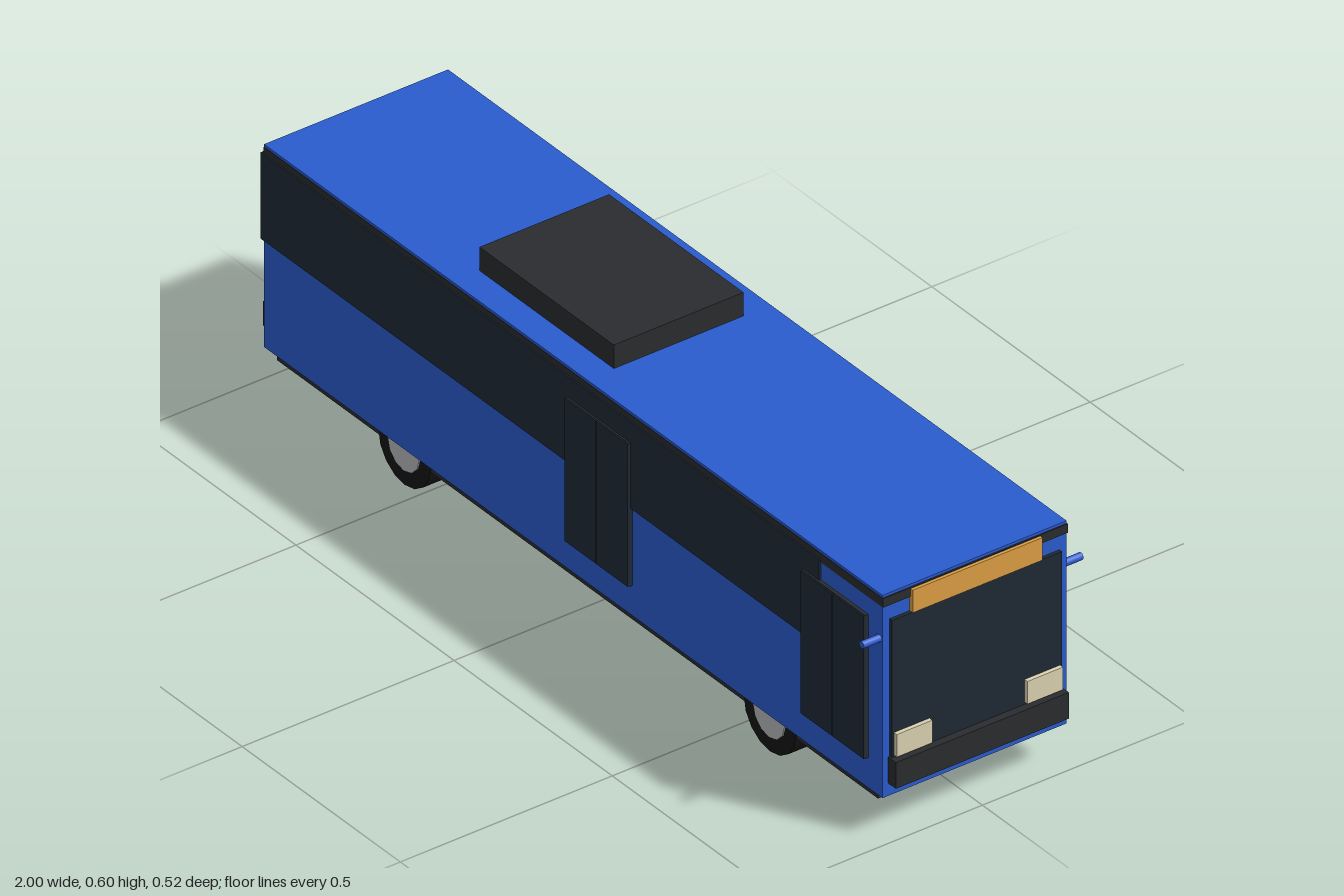
import * as THREE from 'three';

const mat = (color) => new THREE.MeshStandardMaterial({ color });

export function createModel() {
  const bus = new THREE.Group();
  bus.name = 'bus';

  const blue = mat(0x2a5ccf);
  const glass = mat(0x1f2a35);
  const charcoal = mat(0x2a2c2f);
  const rubber = mat(0x161616);
  const metal = mat(0xb8babd);
  const amber = mat(0xdd9f45);
  const cream = mat(0xdcd3b2);
  const red = mat(0xb01c1c);

  // Box given by its extents on each axis
  const box = (name, material, [x0, x1], [y0, y1], [z0, z1], parent = bus) => {
    const mesh = new THREE.Mesh(new THREE.BoxGeometry(x1 - x0, y1 - y0, z1 - z0), material);
    mesh.position.set((x0 + x1) / 2, (y0 + y1) / 2, (z0 + z1) / 2);
    mesh.name = name;
    parent.add(mesh);
    return mesh;
  };

  // Cylinder lying along z
  const axle = (name, material, radius, width, sides, [x, y, z], parent = bus) => {
    const geometry = new THREE.CylinderGeometry(radius, radius, width, sides).rotateX(Math.PI / 2);
    const mesh = new THREE.Mesh(geometry, material);
    mesh.position.set(x, y, z);
    mesh.name = name;
    parent.add(mesh);
    return mesh;
  };

  // Shell, from the chassis up to the roof
  box('chassis', charcoal, [-0.95, 0.95], [0.07, 0.09], [-0.209, 0.209]);
  box('body', blue, [-0.98, 0.975], [0.087, 0.518], [-0.217, 0.217]);
  box('roofTrim', charcoal, [-0.98, 0.978], [0.518, 0.538], [-0.218, 0.218]);
  box('roof', blue, [-0.98, 0.975], [0.538, 0.544], [-0.217, 0.217]);
  box('roofUnit', charcoal, [-0.385, 0.04], [0.544, 0.597], [-0.153, 0.153]);

  // Window band wrapping both sides and the rear
  box('windowBand', glass, [-0.986, 0.78], [0.33, 0.524], [-0.221, 0.221]);

  // Double-leaf doors on the +z side
  for (const x of [-0.016, 0.73]) {
    const door = new THREE.Group();
    door.name = 'door';
    bus.add(door);
    box('doorFrame', charcoal, [x, x + 0.2], [0.155, 0.478], [0.21, 0.225], door);
    for (const start of [x, x + 0.101]) {
      box('doorLeaf', glass, [start, start + 0.099], [0.156, 0.477], [0.215, 0.228], door);
    }
  }

  // Front end
  box('windshield', glass, [0.97, 0.983], [0.175, 0.485], [-0.2, 0.2]);
  box('destinationSign', amber, [0.97, 0.985], [0.485, 0.536], [-0.153, 0.153]);
  box('frontBumper', charcoal, [0.97, 1], [0.116, 0.175], [-0.204, 0.204]);

  // Rear end
  box('rearPanel', charcoal, [-0.986, -0.97], [0.185, 0.305], [-0.175, 0.175]);
  box('rearBumper', charcoal, [-1, -0.97], [0.12, 0.175], [-0.204, 0.204]);

  // Lights and mirrors, mirrored across z
  for (const s of [-1, 1]) {
    const span = (a, b) => (s > 0 ? [a, b] : [-b, -a]);
    box('headlight', cream, [0.97, 0.992], [0.18, 0.231], span(0.112, 0.196));
    box('tailLight', red, [-0.993, -0.97], [0.183, 0.234], span(0.112, 0.196));
    axle('mirror', blue, 0.008, 0.05, 10, [0.965, 0.443, s * 0.234]);
  }

  // Wheels
  for (const x of [-0.545, 0.61]) {
    for (const s of [-1, 1]) {
      const wheel = new THREE.Group();
      wheel.name = 'wheel';
      wheel.position.set(x, 0.083, s * 0.18);
      bus.add(wheel);
      axle('tyre', rubber, 0.083, 0.06, 16, [0, 0, 0], wheel);
      axle('hub', metal, 0.05, 0.066, 12, [0, 0, 0], wheel);
    }
  }

  return bus;
}
